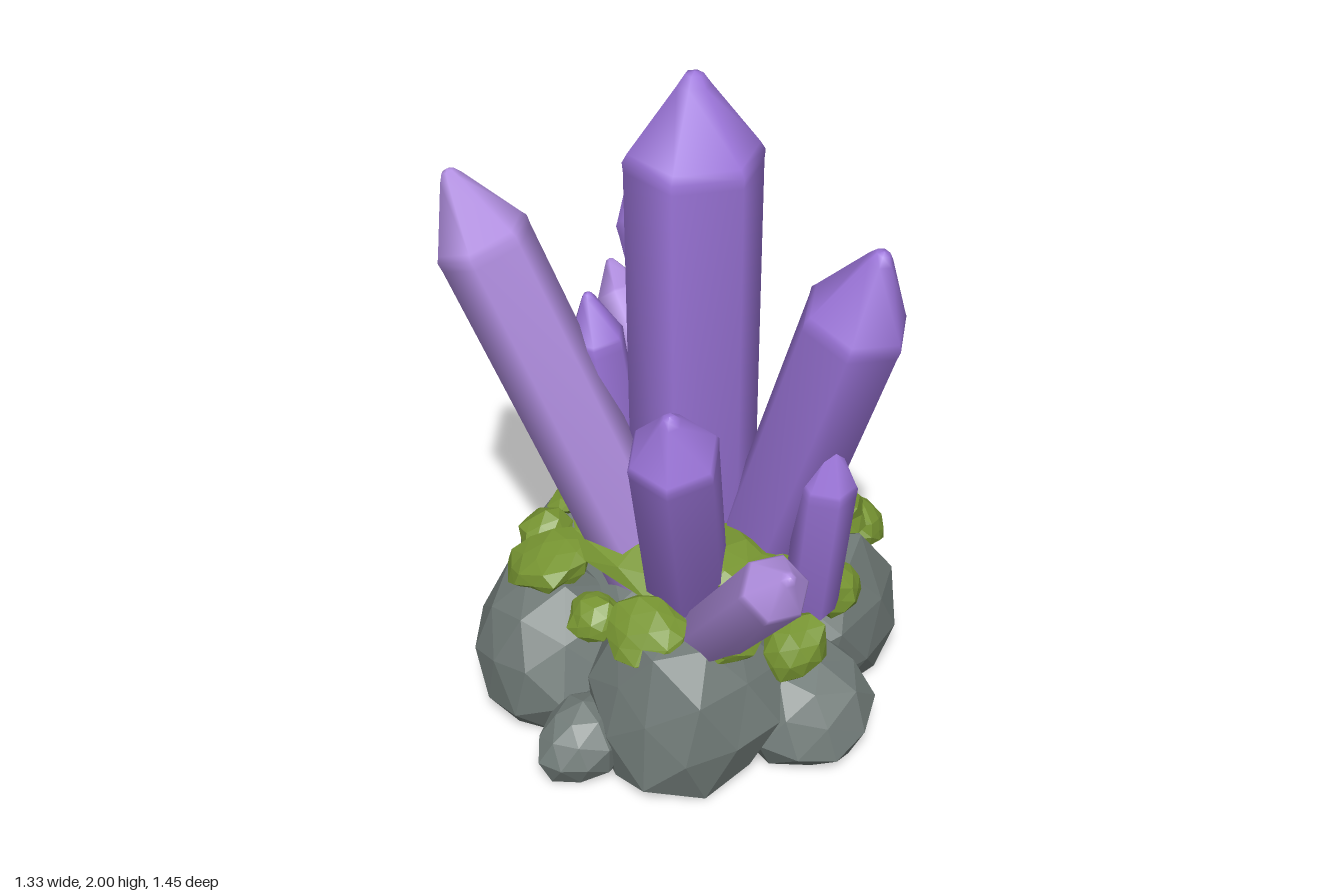
import * as THREE from 'three';

const mat = (name, color, flatShading = false) => {
  const m = new THREE.MeshStandardMaterial({ color, flatShading });
  m.name = name;
  return m;
};

// Repeatable noise in -1..1 from a position, so shared corners move together
function noise(v, seed) {
  const s = Math.sin(v.x * 12.99 + v.y * 78.23 + v.z * 37.72 + seed * 4.37) * 437.58;
  return (s - Math.floor(s)) * 2 - 1;
}

// Faceted lump: a jittered icosphere, cut flat where it meets the ground
function lump(name, material, [x, y, z], [rx, ry, rz], seed, tilt = [0, 0], rough = 0.09) {
  const geo = new THREE.IcosahedronGeometry(1, 1);
  const pos = geo.attributes.position;
  const v = new THREE.Vector3();
  const key = new THREE.Vector3();
  const turn = new THREE.Euler(tilt[0], 0, tilt[1]);
  const spin = new THREE.Euler(seed * 0.7, seed * 1.3, seed * 0.4);
  for (let i = 0; i < pos.count; i++) {
    v.fromBufferAttribute(pos, i);
    key.copy(v).multiplyScalar(100).round().divideScalar(100);
    v.multiplyScalar(1 + rough * noise(key, seed)).applyEuler(spin);
    v.set(v.x * rx, v.y * ry, v.z * rz).applyEuler(turn);
    pos.setXYZ(i, v.x + x, Math.max(0, v.y + y), v.z + z);
  }
  geo.computeVertexNormals();
  const mesh = new THREE.Mesh(geo, material);
  mesh.name = name;
  return mesh;
}

// Six-sided crystal from a buried base to a blunted tip
function crystal(name, material, base, tip, r, point = 1.6, phase = 0) {
  const a = new THREE.Vector3(...base);
  const axis = new THREE.Vector3(...tip).sub(a);
  const len = axis.length();
  const shoulder = len - r * point;
  const profile = [
    [0, 0], [r * 0.92, 0], [r * 0.985, shoulder - 0.03], [r, shoulder],
    [r * 0.93, shoulder + r * 0.12], [r * 0.24, len - r * 0.2], [r * 0.13, len - r * 0.04], [0, len],
  ].map(([px, py]) => new THREE.Vector2(px, py));
  const mesh = new THREE.Mesh(new THREE.LatheGeometry(profile, 6, phase), material);
  mesh.name = name;
  mesh.position.copy(a);
  mesh.quaternion.setFromUnitVectors(new THREE.Vector3(0, 1, 0), axis.normalize());
  return mesh;
}

export function createModel() {
  const model = new THREE.Group();
  model.name = 'crystalCluster';
  const rock = mat('rockGrey', 0x707a77, true);
  const moss = mat('mossGreen', 0x789632, true);
  const violet = mat('crystalViolet', 0x9c75da);
  const lilac = mat('crystalLilac', 0xb491e4);

  // Boulders around a central core, wide where they meet the ground
  const rocks = new THREE.Group();
  rocks.name = 'rocks';
  [
    ['coreRock', [0.02, 0.13, 0], [0.44, 0.41, 0.46]],
    ['frontRightRock', [-0.27, 0.18, 0.2], [0.29, 0.34, 0.28]],
    ['frontLeftRock', [0.29, 0.18, 0.22], [0.29, 0.35, 0.29]],
    ['frontSmallRock', [-0.01, 0.09, 0.43], [0.22, 0.21, 0.22]],
    ['rightSmallRock', [-0.5, 0.08, 0.0], [0.16, 0.14, 0.13]],
    ['leftSmallRock', [0.48, 0.11, 0.04], [0.175, 0.18, 0.17]],
    ['backRock', [0.11, 0.18, -0.41], [0.28, 0.3, 0.28]],
    ['backRightRock', [-0.31, 0.16, -0.26], [0.26, 0.32, 0.26]],
    ['backLeftRock', [0.33, 0.18, -0.23], [0.275, 0.3, 0.26]],
  ].forEach(([n, c, r], i) => rocks.add(lump(n, rock, c, r, i + 1)));
  model.add(rocks);

  // Moss cap and loose clumps: centre, radii, tilt about x and z
  const mosses = new THREE.Group();
  mosses.name = 'moss';
  [
    [[0.03, 0.55, 0.0], [0.35, 0.085, 0.4], [0.04, 0]],
    [[-0.1, 0.585, 0.2], [0.15, 0.07, 0.16], [0.05, 0]],
    [[0.36, 0.545, 0.2], [0.16, 0.065, 0.18], [0.15, -0.25]],
    [[0.27, 0.59, 0.02], [0.12, 0.06, 0.15], [0, -0.1]],
    [[0.46, 0.46, 0.3], [0.08, 0.06, 0.1], [0.4, -0.6]],
    [[0.485, 0.29, 0.03], [0.07, 0.1, 0.078], [0, 0.2]],
    [[0.08, 0.45, -0.48], [0.13, 0.06, 0.09], [-0.55, 0]],
    [[-0.13, 0.4, -0.46], [0.09, 0.08, 0.09], [-0.6, 0.2]],
    [[0.27, 0.49, -0.35], [0.12, 0.07, 0.13], [-0.2, -0.2]],
    [[0.42, 0.48, -0.27], [0.09, 0.06, 0.16], [-0.1, -0.5]],
    [[-0.3, 0.47, -0.3], [0.12, 0.06, 0.14], [-0.3, 0.4]],
    [[-0.4, 0.45, -0.04], [0.08, 0.05, 0.08], [0, 0.6]],
    [[-0.37, 0.46, 0.14], [0.11, 0.06, 0.13], [0.1, 0.5]],
    [[-0.24, 0.455, 0.33], [0.11, 0.05, 0.09], [0.4, -0.1]],
    [[-0.05, 0.35, 0.43], [0.11, 0.105, 0.09], [0.3, 0.3]],
    [[0.17, 0.42, 0.41], [0.09, 0.075, 0.08], [0.3, 0]],
  ].forEach(([c, r, t], i) => mosses.add(lump(i ? 'mossClump' : 'mossCap', moss, c, r, i + 20, t, 0.14)));
  model.add(mosses);

  // Crystals: base, tip, radius, point length, turn
  const crystals = new THREE.Group();
  crystals.name = 'crystals';
  crystals.add(
    crystal('mainCrystal', violet, [0.06, 0.35, -0.03], [0.085, 2.0, -0.05], 0.203, 1.25, -0.17),
    crystal('frontCrystal', violet, [0.11, 0.4, 0.15], [0.11, 1.645, 0.57], 0.158, 1.6),
    crystal('tallBackRightCrystal', lilac, [-0.11, 0.42, -0.05], [-0.345, 1.71, -0.58], 0.143, 1.6),
    crystal('frontRightCrystal', violet, [-0.15, 0.42, 0.12], [-0.445, 1.29, 0.28], 0.135, 1.3),
    crystal('backLeftCrystal', violet, [0.27, 0.4, -0.05], [0.485, 1.42, -0.58], 0.121, 1.6),
    crystal('lowBackLeftCrystal', lilac, [0.27, 0.4, -0.14], [0.51, 1.0, -0.72], 0.09, 1.4),
    crystal('lowFrontRightCrystal', lilac, [-0.25, 0.42, 0.26], [-0.485, 0.985, 0.715], 0.1, 1.35),
    crystal('smallFrontCrystal', violet, [0.08, 0.41, 0.39], [0.07, 1.01, 0.46], 0.087, 1.7, 0.5),
    crystal('smallBackCrystal', violet, [-0.02, 0.45, -0.19], [-0.09, 1.3, -0.3], 0.088, 1.7, 0.1),
  );
  model.add(crystals);
  return model;
}
